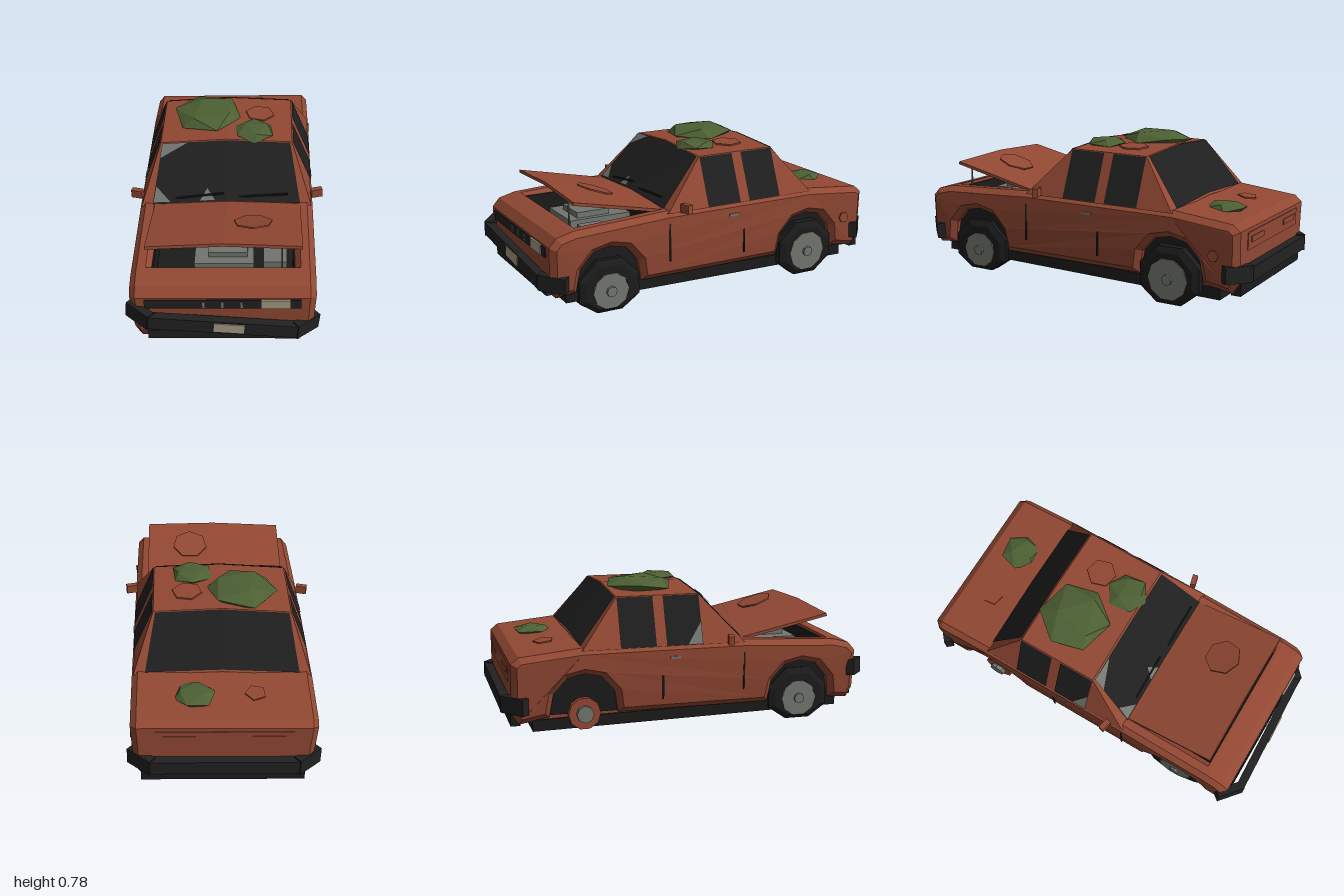
import * as THREE from 'three';

const mat = (name, color) => {
  const m = new THREE.MeshStandardMaterial({ color, side: THREE.DoubleSide });
  m.name = name;
  return m;
};

export function createModel() {
  const paint = mat('rusty red paint', 0x924833);
  const glass = mat('dark glass', 0x1f1f1f);
  const black = mat('black rubber', 0x1b1b1b);
  const trim = mat('dark trim', 0x212121);
  const metal = mat('grey metal', 0x72766f);
  const lamp = mat('dusty cream', 0xa59c83);
  const moss = mat('moss green', 0x4c6033);

  const car = new THREE.Group();
  car.name = 'abandonedCar';
  const body = new THREE.Group(); // leans slightly to one side
  body.name = 'leaningBody';
  body.position.x = 0.012;
  body.rotation.z = 0.03;
  car.add(body);

  const flat = (g) => {
    const f = g.index ? g.toNonIndexed() : g;
    f.computeVertexNormals();
    return f;
  };
  const add = (parent, name, geo, m, x = 0, y = 0, z = 0, rx = 0, ry = 0, rz = 0) => {
    const mesh = new THREE.Mesh(flat(geo), m);
    mesh.name = name;
    mesh.position.set(x, y, z);
    mesh.rotation.set(rx, ry, rz);
    parent.add(mesh);
    return mesh;
  };
  const box = (parent, name, m, w, h, d, ...place) => add(parent, name, new THREE.BoxGeometry(w, h, d), m, ...place);
  // Flat polygons, each a fan of corner points
  const faces = (parent, name, m, polys) => {
    const pos = [];
    for (const p of polys)
      for (let i = 1; i < p.length - 1; i++) pos.push(...p[0], ...p[i], ...p[i + 1]);
    const g = new THREE.BufferGeometry();
    g.setAttribute('position', new THREE.Float32BufferAttribute(pos, 3));
    return add(parent, name, g, m);
  };
  // Side profile of [z, y] points, extruded across the car and centred on x = 0
  const slab = (pts, width, bevel = 0) => {
    const shape = new THREE.Shape(pts.map(([z, y]) => new THREE.Vector2(z, y)));
    const g = new THREE.ExtrudeGeometry(shape, {
      depth: width - 2 * bevel, bevelEnabled: bevel > 0, bevelThickness: bevel,
      bevelSize: bevel, bevelOffset: -bevel, bevelSegments: 1,
    });
    return g.translate(0, 0, -(width - 2 * bevel) / 2).rotateY(-Math.PI / 2);
  };

  // Lower body: fenders and doors with wheel arches
  const FRONT = 0.61, REAR = -0.575;
  const arch = (c) => [[-0.18, 0.12], [-0.16, 0.24], [-0.09, 0.32], [0, 0.34], [0.09, 0.32], [0.16, 0.24], [0.18, 0.12]]
    .map(([z, y]) => [c + z, y]);
  const nose = [[0.9, 0.11], [0.93, 0.17], [0.93, 0.38], [0.89, 0.425], [0.8, 0.448]];
  const tail = [[-0.59, 0.475], [-0.91, 0.443], [-0.95, 0.41], [-0.95, 0.15], [-0.91, 0.09]];
  for (const s of [-1, 1]) {
    const g = slab([...nose, [0.28, 0.475], ...tail, ...arch(REAR), ...arch(FRONT)], 0.105, 0.03);
    g.translate(s * 0.41, 0, 0);
    const p = g.attributes.position; // tuck the sides in toward the sill
    for (let i = 0; i < p.count; i++) p.setX(i, p.getX(i) * (1 - 0.25 * Math.max(0, 0.3 - p.getY(i))));
    add(body, s > 0 ? 'leftSide' : 'rightSide', g, paint);
    for (const c of [FRONT, REAR])
      add(body, 'wheelWell', slab(arch(c), 0.01), black, s * 0.395, 0.005, 0);
  }
  // Middle of the body with the open engine bay
  add(body, 'bodyCentre', slab([...nose, [0.78, 0.45], [0.78, 0.3], [0.28, 0.3], [0.28, 0.475], ...tail], 0.78), paint);
  box(body, 'engineBayFloor', black, 0.72, 0.01, 0.49, 0, 0.31, 0.53);
  box(body, 'engineBayRear', black, 0.72, 0.155, 0.008, 0, 0.382, 0.286);
  box(body, 'engineBayFront', black, 0.72, 0.13, 0.008, 0, 0.37, 0.774);
  for (const s of [-1, 1]) box(body, 'engineBaySide', black, 0.008, 0.13, 0.49, s * 0.355, 0.37, 0.53);
  box(body, 'engineBlock', metal, 0.3, 0.1, 0.34, 0, 0.36, 0.53);
  box(body, 'airFilter', metal, 0.2, 0.03, 0.18, 0.02, 0.425, 0.56);
  box(body, 'battery', metal, 0.12, 0.09, 0.13, 0.26, 0.36, 0.62);
  box(body, 'chassis', black, 0.8, 0.06, 1.68, 0, 0.085, 0, -0.015);

  // Cabin with a shallow roof ridge
  const BW = 0.455, TW = 0.355, BY = 0.462, TY = 0.716, C = 0.02;
  const zs = [0.285, 0.05, -0.39, -0.59];
  const station = (i) => {
    const top = i === 1 || i === 2, w = top ? TW : BW, y = top ? TY : BY;
    return [[-w, y, zs[i]], [0, y + C, zs[i]], [w, y, zs[i]]];
  };
  const st = [0, 1, 2, 3].map(station);
  const shell = [];
  for (let i = 0; i < 3; i++)
    for (let k = 0; k < 2; k++) shell.push([st[i][k], st[i][k + 1], st[i + 1][k + 1], st[i + 1][k]]);
  shell.push([st[0][2], st[3][2], st[2][2], st[1][2]], [st[0][0], st[1][0], st[2][0], st[3][0]]);
  faces(body, 'cabin', paint, shell);

  // Front and rear glass; t runs from the base to the roof
  const onScreen = (front, x, t, lift = 0.004) => [
    x, BY + (TY - BY) * t + C * (1 - Math.abs(x) / (BW + (TW - BW) * t)) + lift,
    front ? 0.285 - 0.235 * t + lift : -0.59 + 0.2 * t - lift];
  for (const front of [true, false]) {
    const q = (x, t) => onScreen(front, x, t);
    faces(body, front ? 'windscreen' : 'rearWindow', glass, [
      [q(0, 0.03), q(0.395, 0.03), q(0.345, 0.98), q(0, 0.98)],
      [q(0, 0.03), q(0, 0.98), q(-0.345, 0.98), q(-0.395, 0.03)]]);
  }
  const w = (x, t) => onScreen(true, x, t, 0.007);
  faces(body, 'brokenWindscreen', metal, [
    [w(-0.345, 0.98), w(-0.36, 0.74), w(-0.21, 0.97)],
    [w(-0.39, 0.05), w(-0.3, 0.05), w(-0.375, 0.3)],
    [w(-0.14, 0.05), w(-0.06, 0.05), w(-0.1, 0.24)]]);
  for (const [x, r] of [[-0.14, 0.12], [0.2, 0.06]])
    box(body, 'wiper', black, 0.26, 0.008, 0.008, x, 0.515, 0.262, 0, 0, r);

  // Side windows, handles, door seams and mirrors
  for (const s of [-1, 1]) {
    const q = (z, t, o = 0.004) => [s * (BW + (TW - BW) * t + o), BY + (TY - BY) * t + o * 0.4, z];
    faces(body, 'sideWindows', glass, [[0.05, -0.145], [-0.2, -0.39]].map(([a, b]) =>
      [q(a, 0.01), q(b, 0.01), q(b, 0.98), q(a, 0.98)]));
    if (s < 0) faces(body, 'brokenSideWindow', metal, [
      [q(0.05, 0.02, 0.007), q(-0.03, 0.02, 0.007), q(0.05, 0.45, 0.007)]]);
    box(body, 'frontDoorSeam', black, 0.006, 0.2, 0.008, s * 0.4605, 0.31, 0.28);
    box(body, 'rearDoorSeam', black, 0.006, 0.13, 0.008, s * 0.4605, 0.25, -0.165);
    box(body, 'doorHandle', metal, 0.008, 0.012, 0.055, s * 0.464, 0.405, -0.1);
    box(body, 'mirror', paint, 0.06, 0.046, 0.03, s * 0.485, 0.486, 0.195, 0, s * 0.25);
  }

  // Raised bonnet with ridge, prop rod and peeling paint
  const hoodGeo = new THREE.BoxGeometry(0.78, 0.016, 0.51, 2, 1, 1);
  const hp = hoodGeo.attributes.position;
  for (let i = 0; i < hp.count; i++) if (Math.abs(hp.getX(i)) < 0.01) hp.setY(i, hp.getY(i) + 0.016);
  add(body, 'bonnet', hoodGeo, paint, 0.006, 0.519, 0.53, -0.215);
  add(body, 'propRod', new THREE.CylinderGeometry(0.005, 0.005, 0.13, 6), metal, 0.295, 0.498, 0.765);
  const flake = (name, r, n, ...place) =>
    add(body, name, new THREE.CylinderGeometry(r, r, 0.008, n), paint, ...place);
  flake('bonnetFlake', 0.1, 7, 0.15, 0.566, 0.56, -0.33);
  flake('roofFlake', 0.08, 6, 0.18, 0.731, -0.22, 0, 0.3, -0.05);
  flake('bootFlake', 0.055, 5, -0.16, 0.463, -0.74, -0.1, 0.4);
  flake('sideFlake', 0.03, 6, 0.461, 0.28, -0.82, 0, 0, Math.PI / 2);

  // Nose: grille, one surviving headlight, lower valance
  box(body, 'grille', trim, 0.775, 0.052, 0.008, 0, 0.345, 0.932);
  box(body, 'headlight', lamp, 0.142, 0.054, 0.009, 0.262, 0.346, 0.936);
  for (const x of [-0.093, 0, 0.094]) box(body, 'grillePost', metal, 0.012, 0.036, 0.009, x, 0.345, 0.936);
  box(body, 'frontValance', trim, 0.76, 0.055, 0.03, 0, 0.146, 0.922);
  // Tail: empty lamp band and lower strip
  box(body, 'emptyTailBand', paint, 0.68, 0.09, 0.006, 0, 0.345, -0.951);
  for (const s of [-1, 1]) box(body, 'emptyTailLamp', paint, 0.16, 0.03, 0.008, s * 0.22, 0.35, -0.954);
  box(body, 'rearValance', black, 0.82, 0.065, 0.05, 0, 0.115, -0.928);

  // Bumpers with angled ends; the front one hangs crooked
  const bumper = (name, h) => {
    const g = new THREE.Group();
    g.name = name;
    box(g, 'bumperBar', trim, 0.74, h, 0.045);
    for (const s of [-1, 1]) box(g, 'bumperEnd', trim, 0.15, h + 0.012, 0.045, s * 0.415, 0, -0.042, 0, s * 0.72);
    return g;
  };
  const fb = bumper('frontBumper', 0.073);
  fb.position.set(0.005, 0.237, 0.966);
  fb.rotation.set(0, 0.035, -0.085);
  box(fb, 'numberPlate', lamp, 0.155, 0.055, 0.008, 0.03, 0.001, 0.024);
  car.add(fb);
  const rb = bumper('rearBumper', 0.075);
  rb.position.set(-0.005, 0.195, -0.975);
  rb.rotation.y = Math.PI;
  body.add(rb);

  // Wheels: sagging tyres squashed against the ground
  const tyreProfile = [[0.1, -0.05], [0.145, -0.05], [0.18, -0.034], [0.18, 0.034], [0.145, 0.05], [0.1, 0.05]]
    .map(([r, h]) => new THREE.Vector2(r, h));
  const disc = (r, len, n = 10) => new THREE.CylinderGeometry(r, r, len, n).rotateZ(Math.PI / 2);
  const wheel = (name, x, y, z, rim) => {
    const g = new THREE.Group(), s = Math.sign(x);
    g.name = name;
    g.position.set(x, y, z);
    const tyre = new THREE.LatheGeometry(tyreProfile, 8).rotateZ(Math.PI / 2).rotateX(Math.PI / 8);
    const p = tyre.attributes.position;
    const squash = y / (0.18 * Math.cos(Math.PI / 8));
    for (let i = 0; i < p.count; i++) if (p.getY(i) < 0) p.setY(i, p.getY(i) * squash);
    add(g, 'tyre', tyre, black);
    add(g, 'rim', disc(rim, 0.1), metal, s * 0.004);
    add(g, 'hubCap', disc(0.028, 0.02, 8), metal, s * 0.058);
    car.add(g);
  };
  wheel('frontLeftWheel', 0.395, 0.115, FRONT, 0.098);
  wheel('frontRightWheel', -0.37, 0.115, FRONT, 0.098);
  wheel('rearLeftWheel', 0.412, 0.135, REAR, 0.11);
  // Bare brake drum where the last wheel is missing
  add(car, 'brakeDrum', disc(0.085, 0.1), paint, -0.375, 0.115, REAR);
  add(car, 'bareHub', disc(0.045, 0.03, 8), metal, -0.432, 0.115, REAR);

  // Moss cushions
  for (const [x, y, z, r, h, turn] of [
    [-0.11, 0.742, -0.21, 0.195, 0.05, 0.3], [0.15, 0.732, -0.04, 0.115, 0.033, 1.1],
    [0.145, 0.46, -0.75, 0.11, 0.033, 0.7], [0.13, 0.451, 0.36, 0.11, 0.014, 0]]) {
    add(body, 'moss', new THREE.IcosahedronGeometry(1, 0).rotateX(0.55).scale(r, h, r), moss, x, y, z, 0, turn);
  }
  return car;
}
